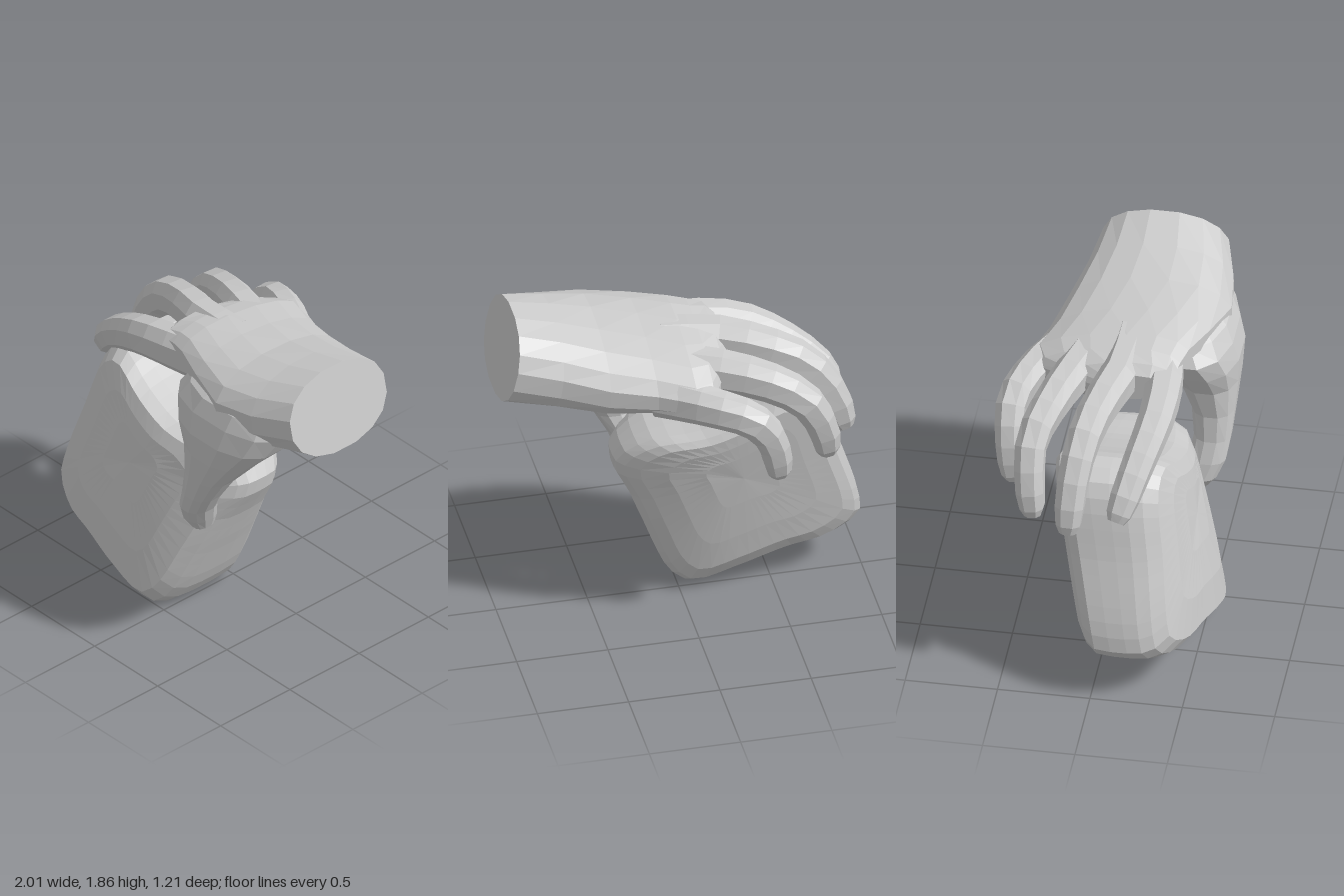
import * as THREE from 'three';

const V = (x, y, z) => new THREE.Vector3(x, y, z);
const material = new THREE.MeshStandardMaterial({ color: 0xcccccc, flatShading: true });

// Skin a list of equal-sized closed rings and cap both ends.
function loft(name, rings) {
  const n = rings[0].length;
  const points = rings.flat();
  const index = [];
  for (let r = 0; r < rings.length - 1; r++) {
    for (let i = 0; i < n; i++) {
      const a = r * n + i, b = r * n + (i + 1) % n;
      index.push(a, b, a + n, b, b + n, a + n);
    }
  }
  for (const end of [0, rings.length - 1]) {
    const centre = rings[end].reduce((s, p) => s.add(p), V(0, 0, 0)).divideScalar(n);
    const c = points.push(centre) - 1;
    for (let i = 0; i < n; i++) {
      const a = end * n + i, b = end * n + (i + 1) % n;
      if (end === 0) index.push(c, b, a); else index.push(c, a, b);
    }
  }
  // Turn all faces outward
  let volume = 0;
  for (let i = 0; i < index.length; i += 3) {
    const [a, b, c] = [0, 1, 2].map(k => points[index[i + k]]);
    volume += a.dot(b.clone().cross(c));
  }
  if (volume < 0) index.reverse();
  const geometry = new THREE.BufferGeometry().setFromPoints(points);
  geometry.setIndex(index);
  geometry.computeVertexNormals();
  const mesh = new THREE.Mesh(geometry, material);
  mesh.name = name;
  return mesh;
}

// Slightly squared unit oval
function oval(n, power = 0.85) {
  const soft = v => Math.sign(v) * Math.abs(v) ** power;
  return Array.from({ length: n }, (_, i) => {
    const a = (i + 0.5) / n * Math.PI * 2;
    return [soft(Math.cos(a)), soft(Math.sin(a))];
  });
}

// Finger: oval rings along a curve, radius tapering to a blunt tip
function finger(name, path, r0, r1) {
  const curve = new THREE.CatmullRomCurve3(path.map(p => V(...p)));
  const steps = [0, 0.12, 0.25, 0.37, 0.48, 0.58, 0.68, 0.78, 0.88, 0.96, 1];
  return loft(name, steps.map(t => {
    const p = curve.getPointAt(t), dir = curve.getTangentAt(t);
    const side = V(0, 0, 1).addScaledVector(dir, -dir.z).normalize();
    const up = dir.clone().cross(side);
    const r = THREE.MathUtils.lerp(r0, r1, t) * (t === 1 ? 0.6 : t > 0.95 ? 0.88 : 1);
    return oval(8).map(([a, b]) =>
      p.clone().addScaledVector(side, a * r).addScaledVector(up, b * r * (1.25 - 0.2 * t)));
  }));
}

export function createModel() {
  const model = new THREE.Group();

  // Block: rounded outline repeated through its depth, leaning back, both faces bulging
  const outline = new THREE.CatmullRomCurve3([
    [-1, 0.42], [-1, 0.31], [-0.9, 0.23], [-0.8, 0.19], [-0.6, 0.165], [-0.3, 0.07], [-0.05, 0],
    [0.05, 0.09], [0.17, 0.38], [0.26, 0.62], [0.35, 0.85], [0.2, 1.02], [-0.1, 1.1],
    [-0.35, 1.2], [-0.6, 1.31], [-0.74, 1.23], [-0.88, 0.82],
  ].map(([x, y]) => V(x, y, 0)), true, 'centripetal').getSpacedPoints(48).slice(0, 48);
  const layers = [[0.3, 0], [0.6, 0], [0.82, 0.01], [0.93, 0.06], [0.99, 0.16], [1, 0.35], [1, 0.55],
    [0.99, 0.72], [0.95, 0.86], [0.86, 0.97], [0.6, 1], [0.3, 1]];
  model.add(loft('block', layers.map(([s, t]) => outline.map(p => {
    const x = -0.3 + (p.x + 0.3) * s, y = 0.85 + (p.y - 0.85) * s;
    const d = (x + 0.25) ** 2, right = x > -0.25;
    const back = -0.08 - 0.16 * y + d * (right ? 0.5 : 0.15);
    const front = 0.65 - 0.22 * y - d * (right ? 0.5 : 0.3);
    return V(x, y, THREE.MathUtils.lerp(back, front, t));
  }))));

  const hand = new THREE.Group();
  hand.name = 'hand';
  model.add(hand);

  // Wrist and palm: x, centre y, centre z, half height, half width, sideways tilt, end slant
  const palm = [
    [0.945, 1.63, 0.1, 0.24, 0.345, 0, 0.23],
    [0.7, 1.575, 0.11, 0.235, 0.4, 0, 0.15],
    [0.45, 1.535, 0.09, 0.22, 0.45, 0.04, 0.05],
    [0.2, 1.54, 0.02, 0.18, 0.44, 0.1, 0],
    [0, 1.54, -0.06, 0.155, 0.44, 0.14, 0],
    [-0.1, 1.535, -0.05, 0.14, 0.4, 0.14, 0],
    [-0.19, 1.535, 0.03, 0.12, 0.3, 0.12, 0],
    [-0.24, 1.53, 0.08, 0.08, 0.2, 0.1, 0],
  ];
  hand.add(loft('palm', palm.map(([x, cy, cz, hy, hz, tilt, slant]) =>
    oval(16, 0.9).map(([a, b]) => V(x - slant * b * hy, cy + b * hy + tilt * a * hz, cz + a * hz)))));

  // Thumb: level sections as y, x range, z range
  const thumb = [
    [1.64, 0.2, 0.76, 0.05, 0.44], [1.57, 0.08, 0.82, 0.05, 0.53], [1.48, 0.02, 0.83, 0.1, 0.57],
    [1.36, 0.08, 0.76, 0.18, 0.6], [1.22, 0.16, 0.62, 0.26, 0.595], [1.05, 0.18, 0.47, 0.34, 0.58],
    [0.9, 0.16, 0.37, 0.36, 0.565], [0.78, 0.12, 0.3, 0.34, 0.545], [0.68, 0.1, 0.26, 0.31, 0.5],
    [0.61, 0.14, 0.23, 0.32, 0.45],
  ];
  hand.add(loft('thumb', thumb.map(([y, x0, x1, z0, z1]) => oval(12).map(([a, b]) =>
    V((x0 + x1) / 2 + a * (x1 - x0) / 2, y, (z0 + z1) / 2 + b * (z1 - z0) / 2)))));

  // Fingers curling over the block
  hand.add(finger('indexFinger', [[0.12, 1.54, 0.22], [-0.15, 1.525, 0.265], [-0.4, 1.475, 0.265],
    [-0.62, 1.365, 0.215], [-0.78, 1.24, 0.165], [-0.88, 1.11, 0.12]], 0.112, 0.078));
  hand.add(finger('middleFinger', [[0.1, 1.58, 0.05], [-0.2, 1.57, 0.03], [-0.45, 1.525, -0.05],
    [-0.65, 1.435, -0.1], [-0.8, 1.25, -0.13], [-0.88, 1.01, -0.14]], 0.112, 0.078));
  hand.add(finger('ringFinger', [[0.1, 1.54, -0.13], [-0.18, 1.53, -0.23], [-0.42, 1.48, -0.32],
    [-0.6, 1.38, -0.38], [-0.7, 1.2, -0.375], [-0.74, 1.0, -0.35]], 0.108, 0.076));
  hand.add(finger('littleFinger', [[0.18, 1.48, -0.3], [-0.08, 1.46, -0.455], [-0.28, 1.4, -0.535],
    [-0.38, 1.28, -0.535], [-0.42, 1.14, -0.52], [-0.44, 1.0, -0.5]], 0.1, 0.073));

  return model;
}
